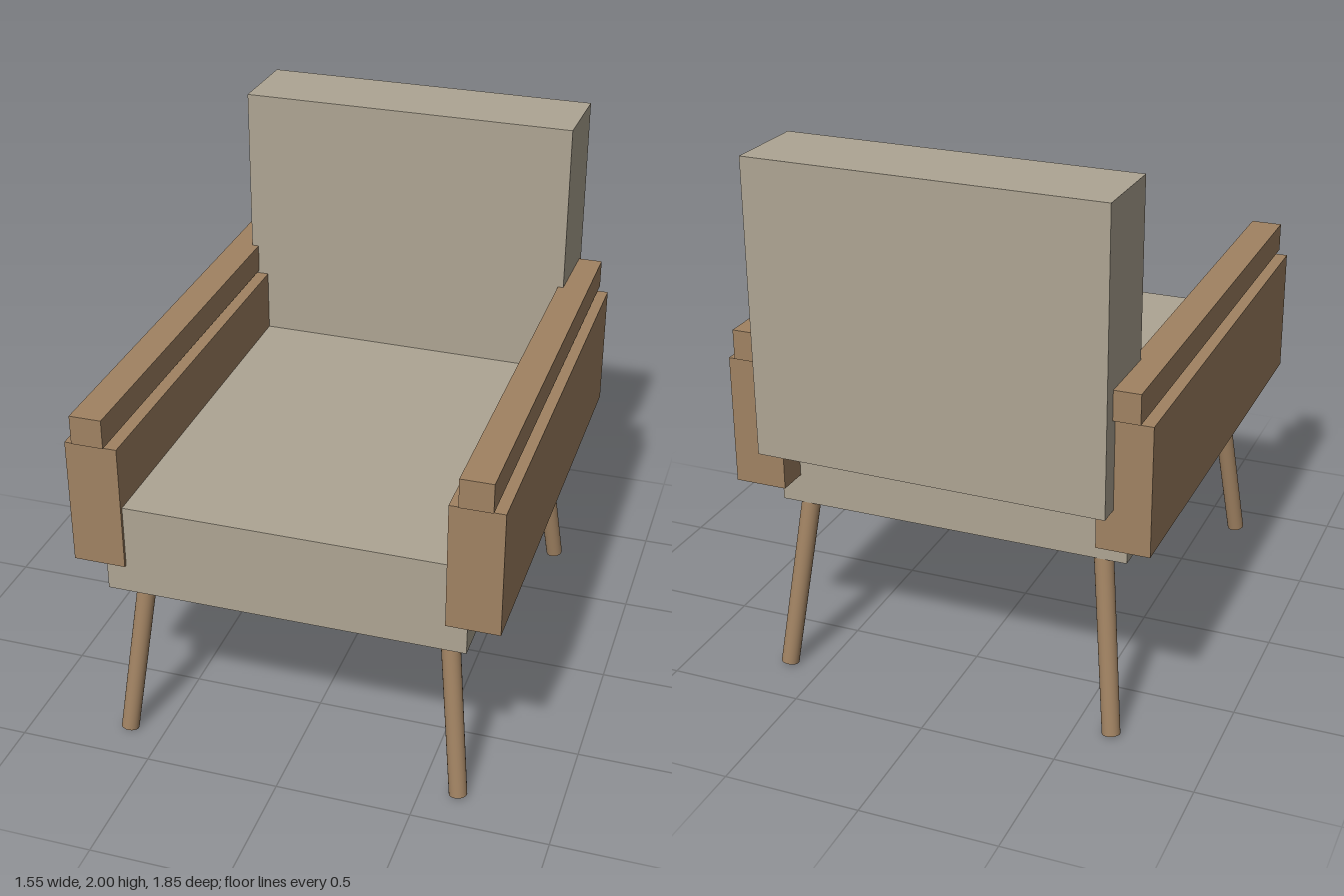
import * as THREE from 'three';

const fabric = new THREE.MeshStandardMaterial({ color: 0xaea593 });
const wood = new THREE.MeshStandardMaterial({ color: 0xa08262 });

// Box given by its lower and upper corners
function box(name, material, [x0, y0, z0], [x1, y1, z1]) {
  const mesh = new THREE.Mesh(new THREE.BoxGeometry(x1 - x0, y1 - y0, z1 - z0), material);
  mesh.position.set((x0 + x1) / 2, (y0 + y1) / 2, (z0 + z1) / 2);
  mesh.name = name;
  return mesh;
}

// Slim round leg running from foot to top
function leg(name, foot, top) {
  const axis = top.clone().sub(foot);
  const mesh = new THREE.Mesh(new THREE.CylinderGeometry(0.035, 0.033, axis.length(), 24), wood);
  mesh.position.copy(foot).add(top).multiplyScalar(0.5);
  mesh.quaternion.setFromUnitVectors(new THREE.Vector3(0, 1, 0), axis.normalize());
  mesh.name = name;
  return mesh;
}

export function createModel() {
  const chair = new THREE.Group();
  chair.name = 'armchair';

  // Cushions; the backrest sits very slightly askew
  chair.add(box('seat', fabric, [-0.657, 0.66, -0.728], [0.657, 1.005, 0.888]));
  const backrest = box('backrest', fabric, [-0.645, 0.92, -0.914], [0.645, 2, -0.592]);
  backrest.rotation.y = -0.0165;
  chair.add(backrest);

  for (const [side, s] of [['left', 1], ['right', -1]]) {
    // Arm panel with a separate rail floating just above it
    const panel = box(side + 'ArmPanel', wood, [0.583, 0.768, -0.845], [0.775, 1.243, 0.9]);
    const rail = box(side + 'ArmRail', wood, [0.621, 1.254, -0.87], [0.738, 1.362, 0.922]);
    for (const part of [panel, rail]) {
      part.position.x *= s;
      chair.add(part);
    }

    // Splayed legs
    chair.add(leg(side + 'FrontLeg',
      new THREE.Vector3(0.635 * s, 0.009, 0.848), new THREE.Vector3(0.556 * s, 0.72, 0.741)));
    chair.add(leg(side + 'BackLeg',
      new THREE.Vector3(0.635 * s, 0.009, -0.79), new THREE.Vector3(0.556 * s, 0.72, -0.683)));
  }
  return chair;
}
